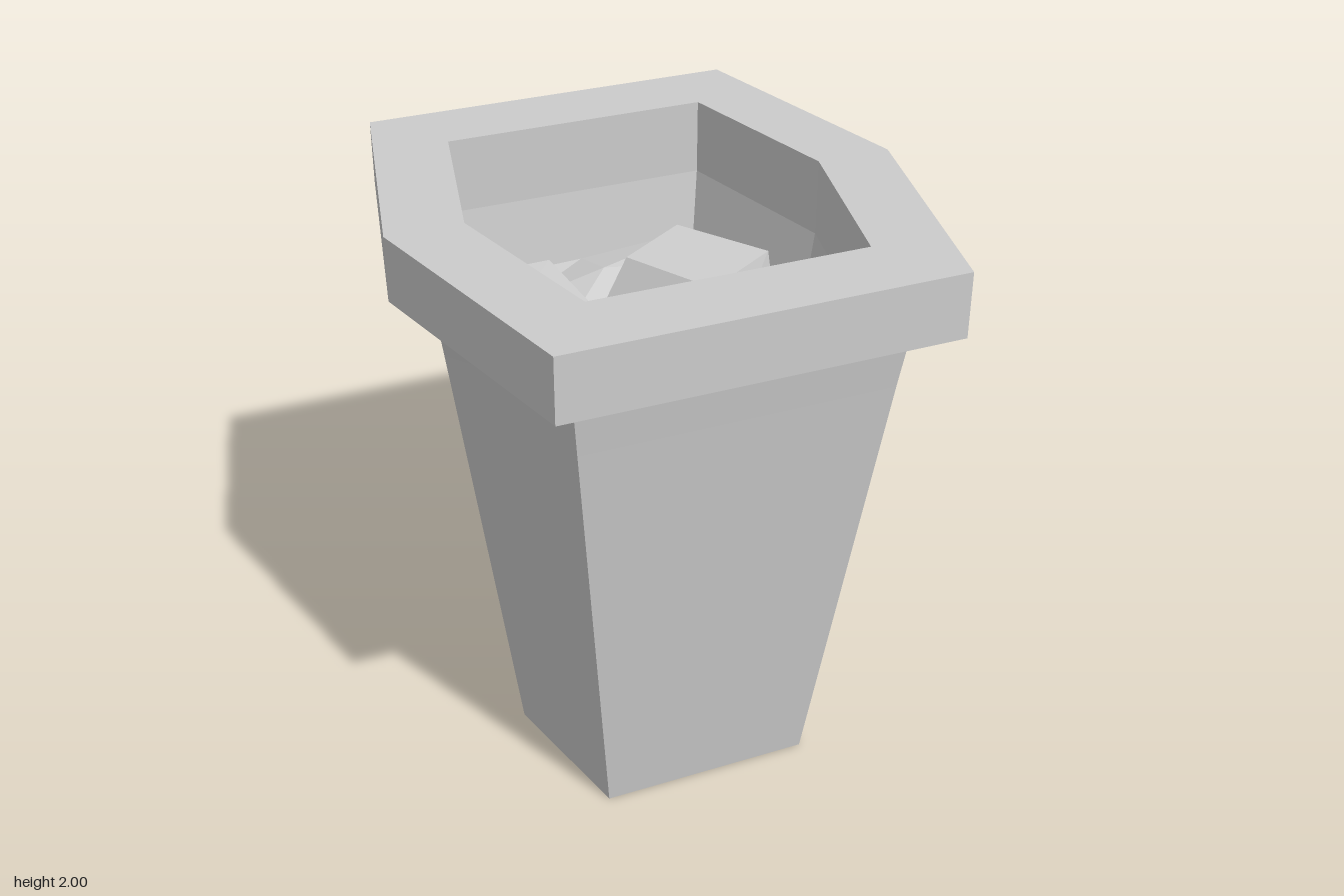
import * as THREE from 'three';

const material = new THREE.MeshStandardMaterial({ color: 0xcccccc, flatShading: true });

// Hexagon ring: pointed at +-x, flat at +-z, counter-clockwise from above
function hex(y, tip, cx, cz, shift = 0) {
  return [[tip, 0], [cx, -cz], [-cx, -cz], [-tip, 0], [-cx, cz], [cx, cz]]
    .map(([x, z]) => new THREE.Vector3(x, y, z + shift));
}

// Skin a stack of equal-length rings, optionally closing the ends
function loft(name, rings, capBottom, capTop) {
  const pos = [];
  const tri = (...pts) => pts.forEach((p) => pos.push(p.x, p.y, p.z));
  const n = rings[0].length;
  for (let k = 0; k < rings.length - 1; k++) {
    for (let i = 0; i < n; i++) {
      const j = (i + 1) % n, a = rings[k], b = rings[k + 1];
      tri(a[i], a[j], b[j]);
      tri(a[i], b[j], b[i]);
    }
  }
  const last = rings[rings.length - 1];
  for (let i = 1; i < n - 1; i++) {
    if (capBottom) tri(rings[0][0], rings[0][i + 1], rings[0][i]);
    if (capTop) tri(last[0], last[i], last[i + 1]);
  }
  const geo = new THREE.BufferGeometry();
  geo.setAttribute('position', new THREE.Float32BufferAttribute(pos, 3));
  geo.computeVertexNormals();
  const mesh = new THREE.Mesh(geo, material);
  mesh.name = name;
  return mesh;
}

// Skewed block from bottom and top outlines [x, y, z], counter-clockwise from above
function block(name, bottom, top) {
  const ring = (pts) => pts.map((p) => new THREE.Vector3(...p));
  return loft(name, [ring(bottom), ring(top)], true, true);
}

function seeded(seed) {
  return () => {
    seed = (seed * 16807) % 2147483647;
    return seed / 2147483647;
  };
}

// Crumpled surface filling the bin
function makeHeap() {
  const rand = seeded(41);
  const outline = hex(1.5, 0.578, 0.436, 0.606);
  const edge = outline.flatMap((p, i) => [p, p.clone().lerp(outline[(i + 1) % 6], 0.5)]);
  const rings = [1, 0.72, 0.4, 0].map((s, k) => edge.map((p) => {
    const j = k === 1 || k === 2 ? 0.06 : 0;
    const lift = k === 0 ? (rand() - 0.5) * 0.05 : j * (rand() - 0.5) * 1.4;
    return new THREE.Vector3(
      p.x * s + (rand() - 0.5) * j,
      1.5 - 0.02 * k + lift,
      p.z * s + (rand() - 0.5) * j);
  }));
  return loft('rubbishHeap', rings, false, false);
}

// Tilted eight-sided cup with a stepped lid
function makeCup() {
  const profile = [[0, -0.12], [0.2, -0.12], [0.225, 0.08], [0.25, 0.085], [0.25, 0.115],
    [0.235, 0.13], [0.225, 0.18], [0.205, 0.19], [0.19, 0.17], [0, 0.17]]
    .map(([r, y]) => new THREE.Vector2(r, y));
  const cup = new THREE.Mesh(new THREE.LatheGeometry(profile, 8, Math.PI / 8), material);
  cup.name = 'discardedCup';
  cup.position.set(-0.275, 1.44, 0.305);
  cup.rotation.set(0.3, 0, -0.03);
  return cup;
}

export function createModel() {
  const model = new THREE.Group();
  model.name = 'rubbishBin';

  // Tapered body, overhanging rim and inner wall in one closed run of rings
  model.add(loft('binShell', [
    hex(0, 0.485, 0.367, 0.54, -0.01),
    hex(1.55, 0.702, 0.53, 0.732, -0.002),
    hex(1.78, 0.735, 0.555, 0.763),
    hex(1.78, 0.87, 0.657, 0.903),
    hex(2, 0.87, 0.657, 0.903),
    hex(2, 0.612, 0.461, 0.635),
    hex(1.74, 0.612, 0.461, 0.635),
    hex(1.44, 0.57, 0.43, 0.598),
  ], true, false));

  model.add(makeHeap(), makeCup());

  // Discarded boxes poking out of the heap
  model.add(
    block('leftBox',
      [[-0.51, 1.4, -0.02], [-0.06, 1.4, -0.05], [-0.14, 1.4, -0.4], [-0.49, 1.4, -0.34]],
      [[-0.46, 1.6, -0.08], [-0.16, 1.58, -0.12], [-0.2, 1.62, -0.39], [-0.5, 1.63, -0.36]]),
    block('largeBox',
      [[0.2, 1.38, 0.15], [0.54, 1.4, -0.13], [0.28, 1.4, -0.4], [-0.11, 1.4, -0.24]],
      [[0.22, 1.63, 0.04], [0.53, 1.61, -0.18], [0.29, 1.65, -0.42], [0.02, 1.66, -0.23]]),
    block('frontBox',
      [[0.03, 1.4, 0.605], [0.45, 1.4, 0.59], [0.41, 1.4, 0.21], [0.01, 1.4, 0.25]],
      [[0.13, 1.58, 0.57], [0.43, 1.57, 0.55], [0.41, 1.58, 0.23], [0.1, 1.6, 0.3]]),
    block('smallScrap',
      [[0.24, 1.42, -0.36], [0.32, 1.42, -0.36], [0.35, 1.42, -0.42], [0.24, 1.42, -0.45]],
      [[0.27, 1.55, -0.4], [0.31, 1.56, -0.42], [0.29, 1.56, -0.49], [0.23, 1.55, -0.46]]),
  );
  return model;
}
